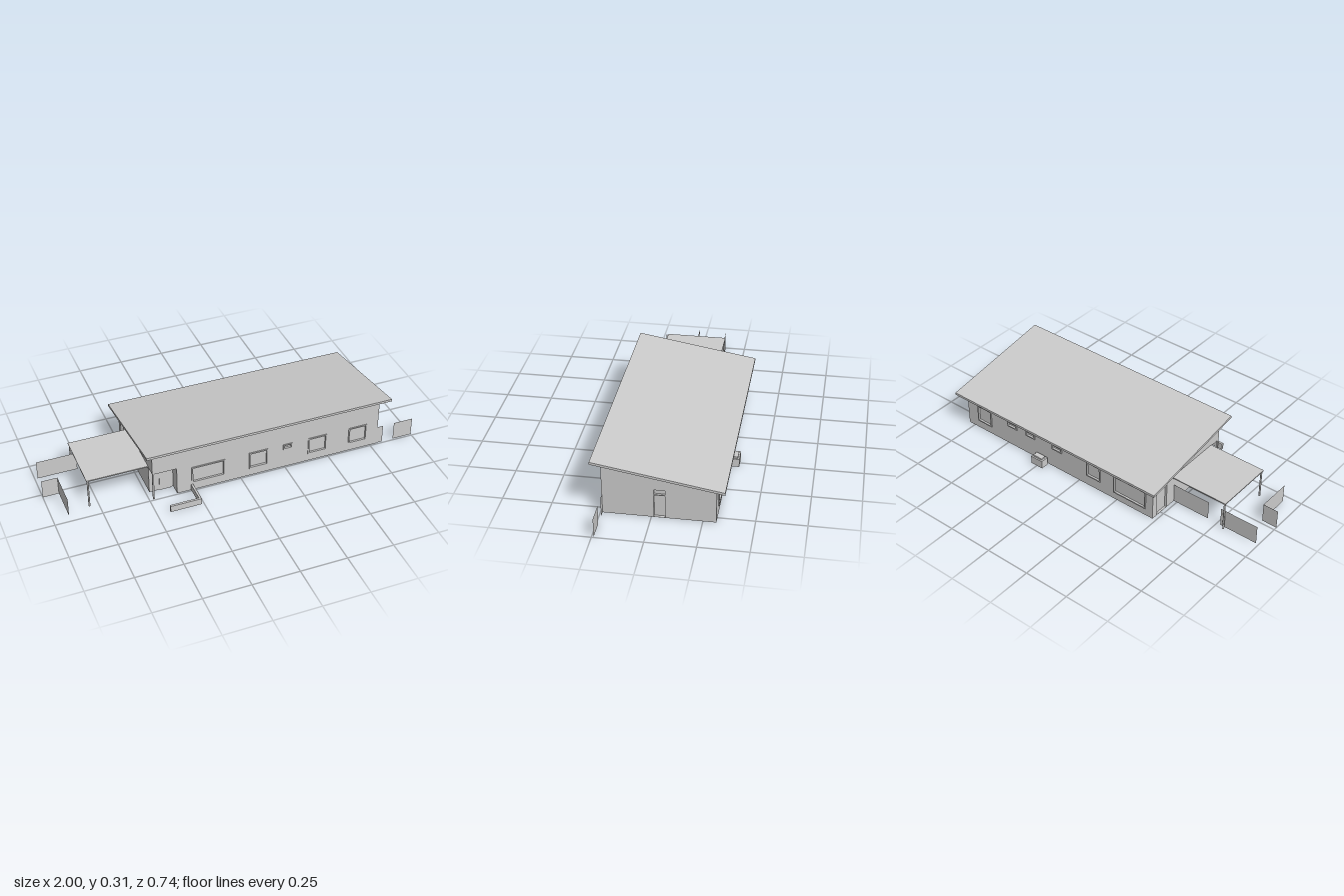
import * as THREE from 'three';

export function createModel() {
  const house = new THREE.Group();
  house.name = 'house';
  const mat = new THREE.MeshStandardMaterial({ color: 0xcccccc, side: THREE.DoubleSide });
  const add = (name, geo, parent = house) => {
    const m = new THREE.Mesh(geo, mat);
    m.name = name;
    parent.add(m);
    return m;
  };
  // Box given by its limits on each axis
  const box = (name, x0, x1, y0, y1, z0, z1, parent) => {
    const m = add(name, new THREE.BoxGeometry(x1 - x0, y1 - y0, z1 - z0), parent);
    m.position.set((x0 + x1) / 2, (y0 + y1) / 2, (z0 + z1) / 2);
    return m;
  };
  const rect = ([a0, a1, b0, b1]) => [[a0, b0], [a1, b0], [a1, b1], [a0, b1]].map(p => new THREE.Vector2(...p));
  const slab = (pts, holes, depth) => {
    const shape = new THREE.Shape(pts.map(p => new THREE.Vector2(...p)));
    shape.holes = holes.map(h => new THREE.Path(rect(h)));
    return new THREE.ExtrudeGeometry(shape, { depth, bevelEnabled: false });
  };
  // Wall facing z, drawn in x and y
  const wallZ = (name, pts, holes, z, depth = T) => {
    const m = add(name, slab(pts, holes, depth));
    m.position.z = z;
    return m;
  };
  // Wall facing x, drawn in z and y; it runs from x towards -x
  const wallX = (name, pts, holes, x, depth = T) => {
    const m = add(name, slab(pts, holes, depth));
    m.rotation.y = -Math.PI / 2;
    m.position.x = x;
    return m;
  };

  const T = 0.02, X0 = -0.48, X1 = 0.79, Z0 = -0.315, Z1 = 0.243;
  const PORCH_X = -0.35, PORCH_Z = 0.18, PORCH_Y = 0.162;
  const under = z => 0.249 + z / 6; // underside of the sloping roof

  // Sloping roof
  const RF = 0.288, RB = -0.36;
  wallX('roof', [[RB, under(RB)], [RF, under(RF)], [RF, under(RF) + 0.013], [RB, under(RB) + 0.013]], [], 0.835, 1.355);

  // Windows as x0, x1, y0, y1
  const frontWindows = [[-0.27, -0.088, 0.047, 0.147], [0.047, 0.153, 0.047, 0.147], [0.238, 0.29, 0.116, 0.147],
    [0.382, 0.489, 0.047, 0.147], [0.617, 0.724, 0.047, 0.147]];
  const backWindows = [[0.617, 0.717, 0.047, 0.15], [0.43, 0.497, 0.116, 0.15], [0.302, 0.366, 0.116, 0.15],
    [0.117, 0.184, 0.116, 0.15], [-0.143, -0.05, 0.06, 0.152], [-0.436, -0.23, 0.042, 0.152]];
  const inset = ([a, b, c, d], k) => [a + k, b - k, c + k, d - k];

  // Outer walls
  const hf = under(Z1), hb = under(Z0);
  wallZ('frontWall', [[PORCH_X, 0], [X1, 0], [X1, hf], [X0, hf], [X0, PORCH_Y], [PORCH_X, PORCH_Y]],
    frontWindows.map(w => inset(w, 0.004)), Z1 - T);
  wallZ('backWall', [[X0, 0], [X1, 0], [X1, hb], [X0, hb]], backWindows.map(w => inset(w, 0.004)), Z0);
  const door = [-0.068, -0.012, 0.001, 0.155], sideDoor = [-0.28, -0.2, 0.001, 0.155];
  wallX('rightEndWall', [[Z0, 0], [Z1, 0], [Z1, hf], [Z0, hb]], [door], X1);
  wallX('leftEndWall', [[Z0, 0], [PORCH_Z, 0], [PORCH_Z, PORCH_Y], [Z1, PORCH_Y], [Z1, hf], [Z0, hb]], [sideDoor], X0 + T);

  // Window frames stand slightly proud of the wall, panes sit back
  const addWindow = (w, z, out) => {
    const g = new THREE.Group();
    g.name = 'window';
    house.add(g);
    const frame = add('windowFrame', slab(rect(w).map(p => [p.x, p.y]), [inset(w, 0.007)], 0.012), g);
    frame.position.z = z + (out > 0 ? -0.007 : -0.005);
    const zc = z - out * 0.008;
    box('windowPane', w[0] + 0.005, w[1] - 0.005, w[2] + 0.005, w[3] - 0.005, zc - 0.002, zc + 0.002, g);
  };
  frontWindows.forEach(w => addWindow(w, Z1, 1));
  backWindows.forEach(w => addWindow(w, Z0, -1));

  // End doors, recessed, with a transom bar
  box('endDoor', X1 - 0.02, X1 - 0.015, 0, 0.125, door[0], door[1]);
  box('endDoorTransom', X1 - 0.015, X1 - 0.003, 0.123, 0.128, door[0], door[1]);
  box('endDoorLight', X1 - 0.018, X1 - 0.014, 0.128, 0.155, door[0], door[1]);
  box('sideDoor', X0 + 0.012, X0 + 0.017, 0, 0.155, sideDoor[0], sideDoor[1]);

  // Recessed entrance porch at the corner
  box('porchSideWall', PORCH_X, PORCH_X + T, 0, PORCH_Y, PORCH_Z - T, Z1);
  box('porchBackWall', X0, PORCH_X, 0, PORCH_Y, PORCH_Z - T, PORCH_Z);
  box('porchCeiling', X0, PORCH_X + T, PORCH_Y, PORCH_Y + 0.006, PORCH_Z - T, Z1 - 0.002);
  box('entranceDoor', -0.425, -0.365, 0, 0.14, PORCH_Z, PORCH_Z + 0.004);
  box('porchPost', X0, X0 + 0.008, 0, PORCH_Y, Z1 - 0.008, Z1);

  // Low L-shaped planter wall in front of the entrance
  box('planterFront', -0.43, -0.263, 0, 0.036, 0.356, 0.368);
  box('planterSide', -0.274, -0.263, 0, 0.036, Z1, 0.356);

  // Carport
  box('carportRoof', -0.805, X0, 0.162, 0.168, -0.157, 0.177);
  for (const z of [-0.15, 0.17]) {
    const post = add('carportPost', new THREE.CylinderGeometry(0.005, 0.005, 0.162, 8));
    post.position.set(-0.797, 0.081, z);
  }

  // Thin fence panels
  const fence = (x0, z0, x1, z1) => {
    const m = add('fencePanel', new THREE.PlaneGeometry(Math.hypot(x1 - x0, z1 - z0), 0.105));
    m.position.set((x0 + x1) / 2, 0.0525, (z0 + z1) / 2);
    m.rotation.y = -Math.atan2(z1 - z0, x1 - x0);
  };
  fence(-0.985, -0.138, -0.77, -0.138);
  fence(-0.695, -0.138, X0, -0.138);
  fence(-1, 0.02, -0.915, 0.02);
  fence(-0.915, 0.02, -0.915, 0.208);
  fence(X1, 0.24, 0.825, 0.24);
  fence(0.89, 0.24, 1, 0.24);

  // Outdoor unit behind the house
  box('outdoorUnit', 0.213, 0.288, 0, 0.045, -0.367, -0.322);
  box('outdoorUnitCap', 0.222, 0.279, 0.045, 0.054, -0.359, -0.33);

  // Inner partitions: a corridor with rooms on both sides
  const t = 0.01;
  box('corridorWallFront', -0.02, X1 - T, 0, under(0), 0, t);
  box('corridorWallBack', -0.16, X1 - T, 0, under(-0.09), -0.09, -0.09 + t);
  const cross = (x, z0, z1) =>
    wallX('roomWall', [[z0, 0], [z1, 0], [z1, under(z1)], [z0, under(z0)]], [], x, t);
  [-0.02, 0.205, 0.335, 0.56].forEach(x => cross(x, 0, Z1 - T));
  [-0.16, 0.06, 0.24, 0.4, 0.55].forEach(x => cross(x, Z0 + T, -0.09));

  // Furniture as x0, x1, height, z0, z1
  const beds = [[0.06, 0.15, 0.1, 0.21], [0.4, 0.49, 0.1, 0.21], [0.63, 0.72, 0.1, 0.21], [0.62, 0.71, -0.29, -0.19]];
  for (const [x0, x1, z0, z1] of beds) box('bed', x0, x1, 0.005, 0.035, z0, z1);
  box('bathtub', 0.22, 0.31, 0.002, 0.035, 0.17, 0.22);
  box('kitchenCounter', -0.14, 0.04, 0.002, 0.055, -0.293, -0.255);
  box('diningTable', -0.36, -0.25, 0.045, 0.052, -0.24, -0.16);
  box('sofa', -0.24, -0.11, 0.005, 0.035, 0.14, 0.2);

  return house;
}
